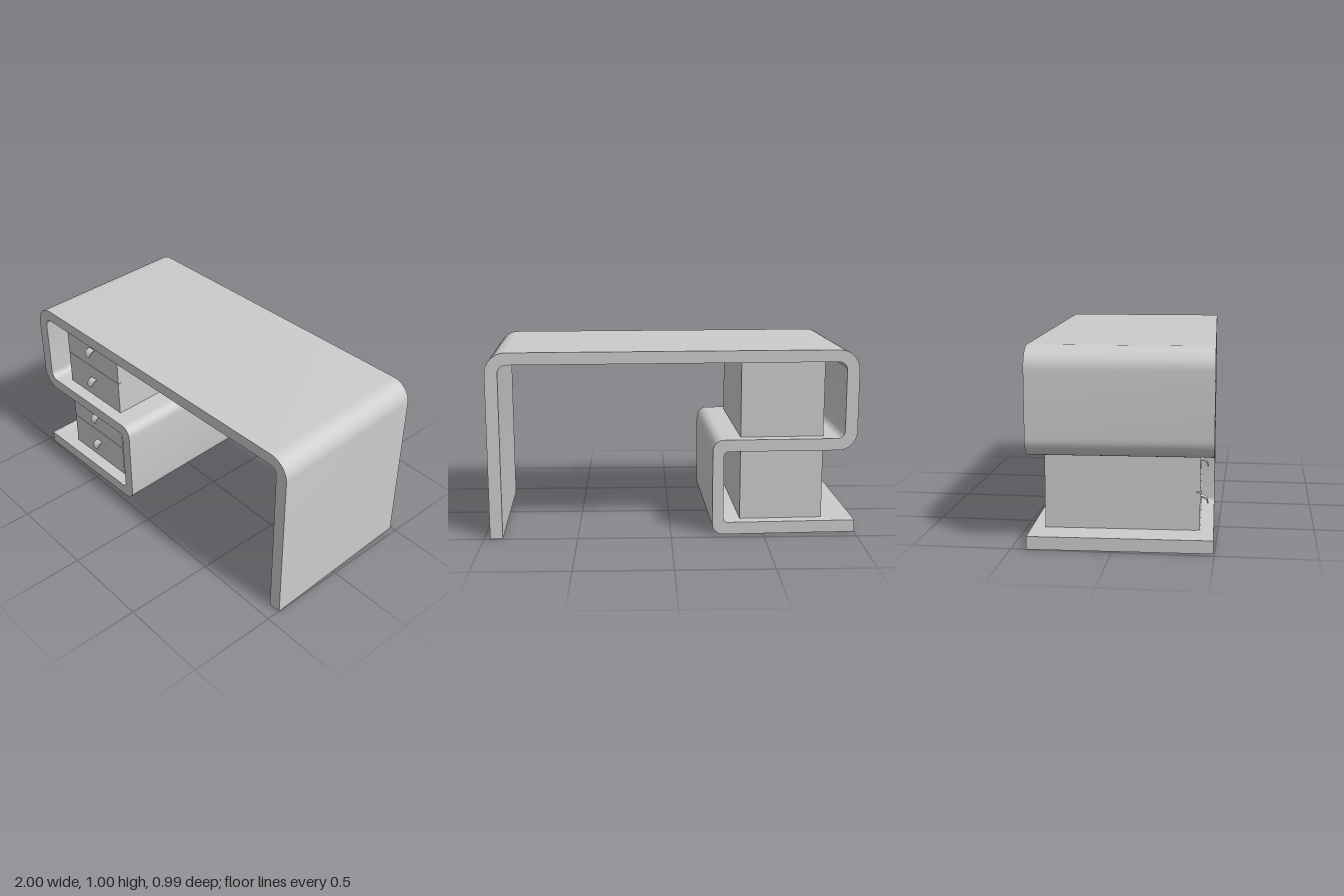
import * as THREE from 'three';
import { toCreasedNormals } from 'three/addons/utils/BufferGeometryUtils.js';

const material = new THREE.MeshStandardMaterial({ color: 0xcccccc });

// Closed outline from [x, y, radius] corners
function roundedShape(corners) {
  const shape = new THREE.Shape();
  const n = corners.length;
  const at = (i) => new THREE.Vector2(corners[(i + n) % n][0], corners[(i + n) % n][1]);
  const toward = (a, b, d) => a.clone().add(b.clone().sub(a).setLength(d));
  corners.forEach(([x, y, r], i) => {
    const p = at(i);
    const start = r ? toward(p, at(i - 1), r) : p;
    if (i === 0) shape.moveTo(start.x, start.y);
    else shape.lineTo(start.x, start.y);
    if (r) {
      const end = toward(p, at(i + 1), r);
      const c1 = start.clone().lerp(p, 0.5523);
      const c2 = end.clone().lerp(p, 0.5523);
      shape.bezierCurveTo(c1.x, c1.y, c2.x, c2.y, end.x, end.y);
    }
  });
  shape.closePath();
  return shape;
}

function extruded(shape, depth) {
  const geo = new THREE.ExtrudeGeometry(shape, { depth, bevelEnabled: false, curveSegments: 12 });
  geo.translate(0, 0, -depth / 2);
  return toCreasedNormals(geo, 0.6);
}

function addMesh(parent, geo, name, x = 0, y = 0, z = 0) {
  const mesh = new THREE.Mesh(geo, material);
  mesh.name = name;
  mesh.position.set(x, y, z);
  parent.add(mesh);
  return mesh;
}

export function createModel() {
  const model = new THREE.Group();
  model.name = 'desk';
  const desk = new THREE.Group();
  desk.name = 'turnedDesk';
  desk.rotation.y = THREE.MathUtils.degToRad(2.1);
  model.add(desk);

  // One folded board: leg, top, side, middle shelf, lower side and base
  const board = roundedShape([
    [0.984, 0, 0], [0.984, 1, 0.11], [-0.984, 1, 0.11], [-0.984, 0.458, 0.1],
    [-0.267, 0.458, 0.025], [-0.267, 0.066, 0.025], [-0.984, 0.066, 0], [-0.984, 0, 0],
    [-0.207, 0, 0.06], [-0.207, 0.522, 0.06], [-0.917, 0.522, 0.04],
    [-0.917, 0.936, 0.045], [0.917, 0.936, 0.045], [0.917, 0, 0],
  ]);
  addMesh(desk, extruded(board, 0.917), 'foldedBoard');

  // Curved tab handle: profile in (outward, up), extruded across the drawer
  const tab = new THREE.Shape();
  tab.moveTo(0, 0.02);
  tab.quadraticCurveTo(0.033, 0.018, 0.038, -0.018);
  tab.lineTo(0.033, -0.018);
  tab.quadraticCurveTo(0.028, 0.012, 0, 0.014);
  tab.closePath();
  const handleGeo = extruded(tab, 0.046).rotateY(-Math.PI / 2);
  // Narrow the free end slightly
  const pos = handleGeo.attributes.position;
  for (let i = 0; i < pos.count; i++) {
    if (pos.getY(i) < -0.005) pos.setX(i, pos.getX(i) * 0.84);
  }

  // Two drawer cabinets, each with two drawers
  const cx = -0.589, width = 0.45, frontZ = 0.39;
  [['lower', 0.066, 0.458], ['upper', 0.522, 0.93]].forEach(([level, y0, y1]) => {
    const cabinet = new THREE.Group();
    cabinet.name = level + 'Cabinet';
    desk.add(cabinet);
    const h = y1 - y0;
    addMesh(cabinet, new THREE.BoxGeometry(width, h, 0.76), 'cabinetBody', cx, y0 + h / 2, -0.01);
    for (let i = 0; i < 2; i++) {
      const y = y0 + h * (0.25 + i * 0.5);
      addMesh(cabinet, new THREE.BoxGeometry(width, h / 2 - 0.004, 0.02), 'drawerFront', cx, y, frontZ - 0.01);
      addMesh(cabinet, handleGeo, 'drawerHandle', cx, y + 0.005, frontZ);
    }
  });

  return model;
}
